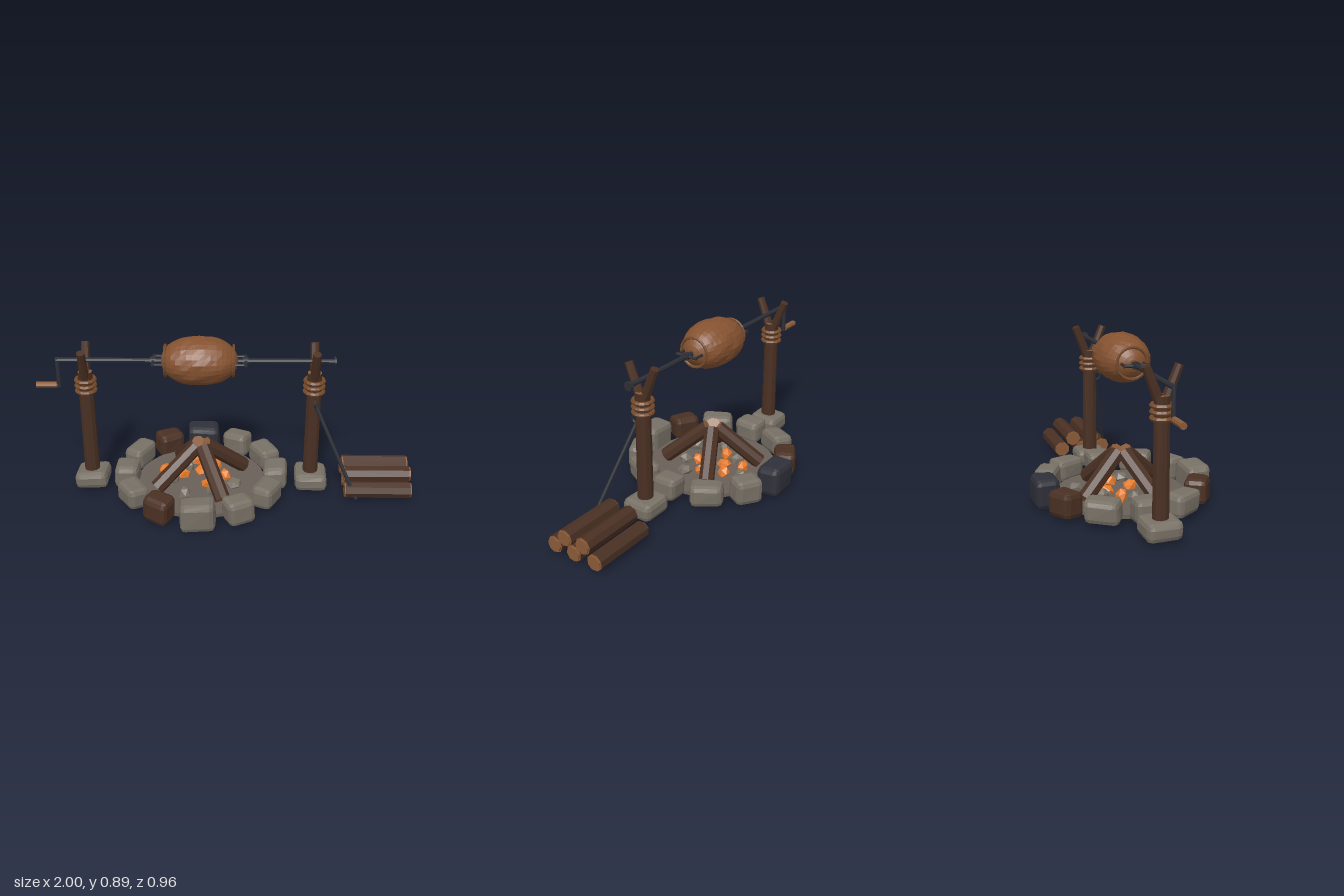
import * as THREE from 'three';
import { RoundedBoxGeometry } from 'three/addons/geometries/RoundedBoxGeometry.js';

const mat = (name, color) => {
  const m = new THREE.MeshStandardMaterial({ color, flatShading: true });
  m.name = name;
  return m;
};
const V = (x, y, z) => new THREE.Vector3(x, y, z);

export function createModel() {
  const root = new THREE.Group();
  root.name = 'campfireSpit';
  const M = {
    bark: mat('bark', 0x4a3023),
    cutWood: mat('cutWood', 0x8a5a38),
    rope: mat('rope', 0x754a2b),
    stone: mat('stone', 0x777065),
    slate: mat('slate', 0x2f3039),
    ash: mat('ash', 0x696158),
    ember: mat('ember', 0xe67c2e),
    iron: mat('iron', 0x2c2f36),
    meat: mat('meat', 0x855230),
  };
  const FX = -0.14; // fire centre
  const SPIT_Y = 0.765;

  const add = (name, geo, material, pos, parent = root) => {
    const mesh = new THREE.Mesh(geo, material);
    mesh.name = name;
    if (pos) mesh.position.copy(pos);
    parent.add(mesh);
    return mesh;
  };
  // Round bar between two points; ends may have another colour
  const bar = (name, a, b, r, side, end = side, sides = 8, parent = root, r2 = r) => {
    const d = b.clone().sub(a);
    const geo = new THREE.CylinderGeometry(r2, r, d.length(), sides);
    const mesh = add(name, geo, [side, end, end], a.clone().add(b).multiplyScalar(0.5), parent);
    mesh.quaternion.setFromUnitVectors(V(0, 1, 0), d.normalize());
    return mesh;
  };
  // Push vertices along smooth waves, so shared corners stay together
  const roughen = (geo, amount, freq, seed) => {
    const p = geo.attributes.position;
    for (let i = 0; i < p.count; i++) {
      const x = p.getX(i), y = p.getY(i), z = p.getZ(i);
      p.setXYZ(i,
        x + amount * Math.sin(freq * (y + 0.7 * z) + seed),
        y + amount * Math.sin(freq * (z + 0.8 * x) + seed * 1.7),
        z + amount * Math.sin(freq * (x - 0.6 * y) + seed * 2.3));
    }
    geo.computeVertexNormals();
    return geo;
  };
  const stoneGeo = (w, h, d, seed) =>
    roughen(new RoundedBoxGeometry(w, h, d, 1, 0.028), 0.005, 14, seed);

  // Fire pit floor
  add('pitFloor', new THREE.CylinderGeometry(0.355, 0.355, 0.02, 32), M.ash, V(FX, 0.033, 0));

  // Ring of twelve stones: tangential width, height, radial depth
  const ring = new THREE.Group();
  ring.name = 'stoneRing';
  root.add(ring);
  const sizes = [[0.15, 0.125, 0.13], [0.175, 0.12, 0.12], [0.15, 0.135, 0.12], [0.18, 0.16, 0.13]];
  for (let i = 0; i < 12; i++) {
    const a = (i * Math.PI) / 6; // from +x towards +z
    const kind = i % 6 <= 3 ? i % 6 : 6 - (i % 6);
    const [w, h, d] = sizes[kind];
    const material = i === 9 ? M.slate : i === 4 || i === 8 ? M.bark : M.stone;
    const s = add('ringStone', stoneGeo(w, h, d, i * 1.3), material,
      V(FX + 0.408 * Math.cos(a), 0.086, 0.408 * Math.sin(a)), ring);
    s.rotation.y = Math.PI / 2 - a;
  }

  // Fire logs leaning together
  for (let i = 0; i < 4; i++) {
    const a = 1.09 + (i * Math.PI) / 2;
    const c = Math.cos(a), s = Math.sin(a);
    bar('fireLog', V(FX + 0.265 * c, 0.065, 0.265 * s), V(FX + 0.025 * c, 0.262, 0.025 * s),
      0.042, M.bark, M.cutWood);
  }

  // Embers and cold coals
  const lump = (name, material, x, z, r, i) => {
    const m = add(name, new THREE.IcosahedronGeometry(r, 0), material, V(x, 0.055, z));
    m.scale.y = 0.7;
    m.rotation.set(i, i * 1.9, i * 0.6);
  };
  [[-0.34, -0.09], [-0.17, -0.185], [-0.06, -0.13], [-0.01, -0.02], [-0.14, -0.08], [-0.24, -0.03], [-0.1, 0.06]]
    .forEach(([x, z], i) => lump('ember', M.ember, x, z, 0.043, i));
  [[-0.07, -0.23], [-0.225, 0.17], [0.04, 0.06], [-0.3, 0.02], [-0.07, 0.13], [-0.22, -0.12]]
    .forEach(([x, z], i) => lump('coal', M.stone, x, z, 0.045, i + 2));

  // Forked posts with foot stones and rope lashings
  for (const x of [-0.74, 0.46]) {
    const post = new THREE.Group();
    post.name = 'forkedPost';
    post.position.x = x;
    root.add(post);
    add('footStone', stoneGeo(0.175, 0.095, 0.175, x * 5), M.stone, V(0, 0.068, 0), post);
    bar('postTrunk', V(0, 0.008, 0), V(0, 0.7, 0), 0.042, M.bark, M.cutWood, 10, post, 0.038);
    for (const s of [-1, 1]) {
      bar('forkBranch', V(0, 0.66, s * 0.01), V(0, 0.837, s * 0.08), 0.026, M.bark, M.bark, 8, post, 0.022);
    }
    for (const y of [0.594, 0.624, 0.654]) {
      const t = add('ropeWrap', new THREE.TorusGeometry(0.049, 0.011, 6, 16), M.rope, V(0, y, 0), post);
      t.rotation.x = Math.PI / 2;
    }
  }

  // Spit rod, end stop and crank
  bar('spitRod', V(-0.885, SPIT_Y, 0), V(0.565, SPIT_Y, 0), 0.013, M.iron);
  bar('spitStop', V(0.555, SPIT_Y, 0), V(0.567, SPIT_Y, 0), 0.025, M.iron);
  bar('crankArm', V(-0.88, SPIT_Y + 0.012, 0), V(-0.88, 0.61, 0), 0.011, M.iron);
  bar('crankPin', V(-0.95, 0.622, 0), V(-0.872, 0.622, 0), 0.009, M.iron);
  bar('crankHandle', V(-1, 0.622, 0), V(-0.892, 0.622, 0), 0.017, M.cutWood);

  // Roast: a plump barrel with a lumpy crust
  const roast = new THREE.SphereGeometry(1, 28, 20);
  roast.rotateZ(Math.PI / 2);
  const p = roast.attributes.position;
  for (let i = 0; i < p.count; i++) {
    const x = p.getX(i), y = p.getY(i), z = p.getZ(i);
    const n = Math.sin(9 * x + 5 * y) * Math.sin(8 * z - 4 * x) + 0.7 * Math.sin(17 * y + 11 * z + 7 * x);
    const r = Math.hypot(y, z) || 1;
    const full = Math.pow(Math.max(0, 1 - Math.pow(Math.abs(x), 2.4)), 0.5) / r;
    const k = full * (1 + 0.018 * n);
    p.setXYZ(i, x * 0.2, y * 0.125 * k, z * 0.137 * k);
  }
  roast.computeVertexNormals();
  add('roast', roast, M.meat, V(FX, SPIT_Y, 0));

  // Ties and two-pronged clamps at both ends of the roast
  for (const s of [-1, 1]) {
    const tie = add('roastTie', new THREE.TorusGeometry(0.08, 0.008, 6, 20), M.rope, V(FX + s * 0.177, SPIT_Y, 0));
    tie.rotation.y = Math.PI / 2;
    const cx = FX + s * 0.24;
    bar('clampCollar', V(cx - 0.014, SPIT_Y, 0), V(cx + 0.014, SPIT_Y, 0), 0.021, M.iron);
    bar('clampBar', V(cx, SPIT_Y, -0.063), V(cx, SPIT_Y, 0.063), 0.009, M.iron);
    for (const z of [-0.056, 0.056]) {
      bar('clampProng', V(cx, SPIT_Y, z), V(FX + s * 0.14, SPIT_Y, z), 0.007, M.iron);
    }
  }

  // Firewood stack
  [[0.127, 0.064], [0.006, 0.061], [-0.123, 0.061], [0.06, 0.124], [-0.054, 0.124]].forEach(([z, y], i) => {
    const log = new THREE.Group();
    log.name = 'firewoodLog';
    root.add(log);
    bar('logBark', V(0.645, y, z), V(0.99, y, z), 0.045, M.bark, M.cutWood, 8, log).rotateY(i);
    bar('logCutEnds', V(0.638, y, z), V(0.998, y, z), 0.039, M.cutWood, M.cutWood, 8, log).rotateY(i);
  });

  // Poker leaning on the right-hand post
  bar('poker', V(0.7, 0.025, 0.16), V(0.47, 0.525, 0.036), 0.01, M.iron);
  const hook = add('pokerHook', new THREE.TorusGeometry(0.021, 0.006, 6, 14, 4.7), M.iron, V(0.465, 0.543, 0.044));
  hook.rotation.set(0.6, Math.PI / 2, 0);

  return root;
}
